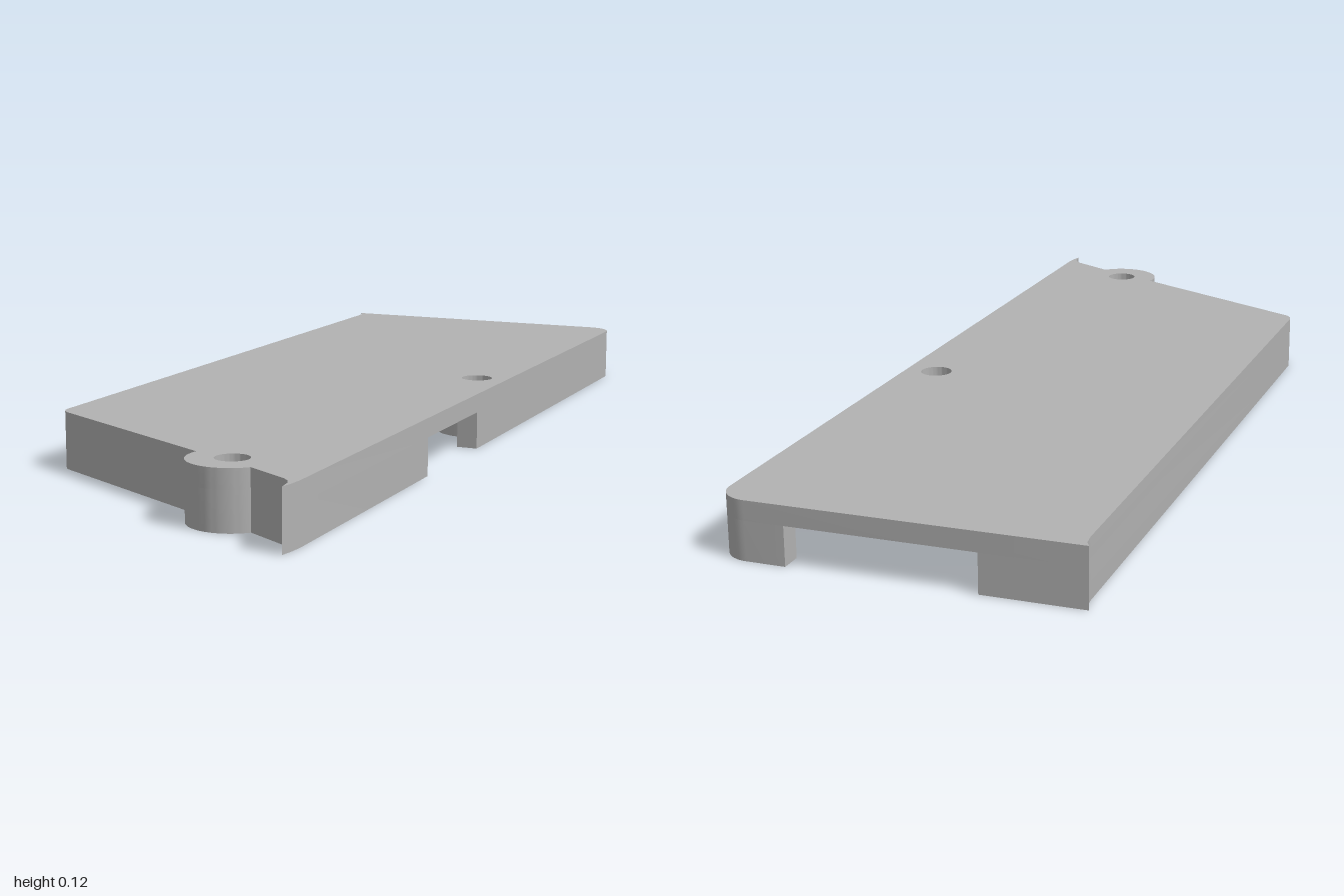
import * as THREE from 'three';
import { toCreasedNormals } from 'three/addons/utils/BufferGeometryUtils.js';

const HEIGHT = 0.12, RIM = 0.08;            // total height, underside of the top plate
const FRONT_BOSS = [0.17, 0.83], SIDE_BOSS = [0.29, -0.14];
const BOSS_R = 0.088, HOLE_R = 0.034;

// Points on an arc in plan (x, z), angles in radians from +x towards +z
function arc([cx, cz], r, a0, a1, n = 24) {
  return Array.from({ length: n + 1 }, (_, i) => {
    const a = a0 + ((a1 - a0) * i) / n;
    return [cx + r * Math.cos(a), cz + r * Math.sin(a)];
  });
}

// Angle of a plan point as seen from a centre
const angle = ([cx, cz], x, z) => Math.atan2(z - cz, x - cx);

// Upright slab from a plan outline with round through-holes
function slab(name, points, holes, y0, y1, material) {
  const shape = new THREE.Shape(points.map(([x, z]) => new THREE.Vector2(x, -z)));
  for (const [x, z] of holes) {
    const hole = new THREE.Path();
    hole.absarc(x, -z, HOLE_R, 0, Math.PI * 2, true);
    shape.holes.push(hole);
  }
  let geo = new THREE.ExtrudeGeometry(shape, { depth: y1 - y0, bevelEnabled: false, curveSegments: 32 });
  geo.rotateX(-Math.PI / 2);
  geo.translate(0, y0, 0);
  geo = toCreasedNormals(geo, 0.6);
  const mesh = new THREE.Mesh(geo, material);
  mesh.name = name;
  return mesh;
}

export function createModel() {
  const grey = new THREE.MeshStandardMaterial({ color: 0xb2b2b2 });
  grey.name = 'plain grey';
  const PI = Math.PI;

  // Outer edge from the pointed back corner, along the left of the plan, to the front tip
  const leftAndFront = [
    [-0.366, -1], [-0.358, -0.985], [-0.355, -0.96],
    ...arc([-0.315, 0.552], 0.04, PI, PI - 1.07, 8),
    ...arc(FRONT_BOSS, BOSS_R, angle(FRONT_BOSS, 0.085, 0.81) + 2 * PI, angle(FRONT_BOSS, 0.243, 0.894), 32),
    [0.328, 0.942], [0.341, 0.954], [0.348, 0.97], [0.352, 1], [0.357, 0.975], [0.36, 0.945],
  ];
  const roundedCorner = arc([0.3, -0.94], 0.06, 0, -PI / 2, 12);

  // Inner edge of the front wall, bulging round the front boss
  const innerFront = [
    [0.315, 0.885],
    ...arc(FRONT_BOSS, BOSS_R, angle(FRONT_BOSS, 0.255, 0.852), angle(FRONT_BOSS, 0.105, 0.771) - 2 * PI, 24)
      .map((p) => p),
    [-0.31, 0.544], [-0.31, -0.955],
  ];
  // The inner bulge must run over the cavity side of the boss
  const a0 = angle(FRONT_BOSS, 0.255, 0.852), a1 = angle(FRONT_BOSS, 0.105, 0.771);
  innerFront.splice(1, 25, ...arc(FRONT_BOSS, BOSS_R, a0, a1 > a0 ? a1 - 2 * PI : a1, 24));

  // Wall pieces between the side notch and the back notch
  const longWall = [
    [-0.16, -1], ...leftAndFront, [0.36, 0.34], [0.315, 0.34],
    ...innerFront, [-0.16, -0.955],
  ];
  const s = Math.acos(0.025 / BOSS_R);
  const cornerWall = [
    [0.36, 0.05], ...roundedCorner, [0.22, -1], [0.22, -0.955],
    ...arc([0.285, -0.925], 0.03, -PI / 2, 0, 8),
    ...arc(SIDE_BOSS, BOSS_R, -s, s - 2 * PI, 32),
    [0.315, 0.05],
  ];

  const model = new THREE.Group();
  model.name = 'coverTray';
  model.add(
    slab('topPlate', [...leftAndFront, ...roundedCorner], [FRONT_BOSS, SIDE_BOSS], RIM, HEIGHT, grey),
    slab('longWallWithFrontBoss', longWall, [FRONT_BOSS], 0, RIM, grey),
    slab('cornerWallWithSideBoss', cornerWall, [SIDE_BOSS], 0, RIM, grey),
  );
  return model;
}
